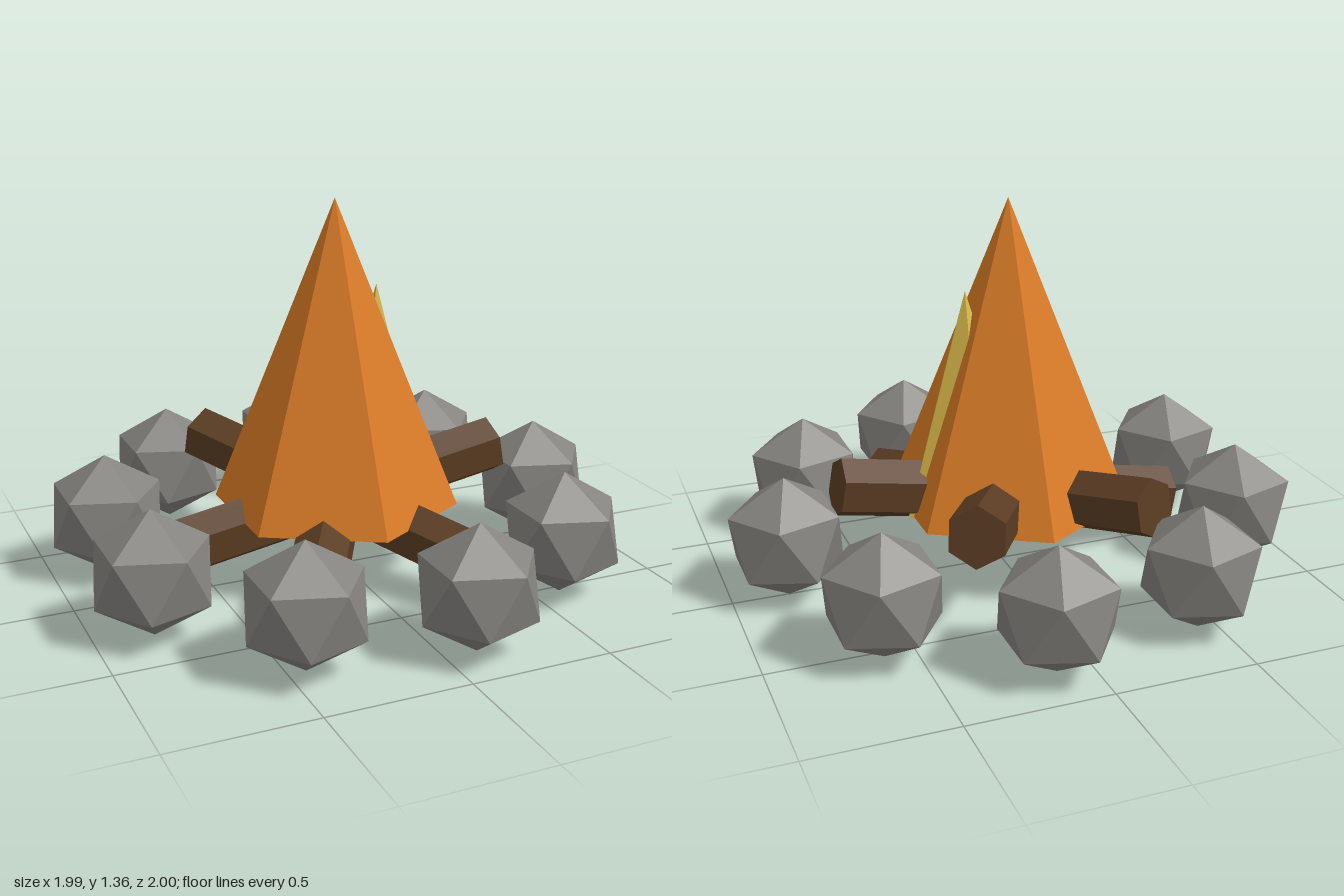
import * as THREE from 'three';

const mat = (name, color) => {
  const m = new THREE.MeshStandardMaterial({ color, flatShading: true });
  m.name = name;
  return m;
};

export function createModel() {
  const stoneGrey = mat('stone grey', 0x85837f);
  const barkBrown = mat('bark brown', 0x5a3c22);
  const flameOrange = mat('flame orange', 0xd97b24);
  const flameYellow = mat('flame yellow', 0xd9b84a);

  const campfire = new THREE.Group();
  campfire.name = 'campfire';
  const centreX = -0.025;

  const add = (name, geometry, material, x, y, z = 0) => {
    const mesh = new THREE.Mesh(geometry, material);
    mesh.name = name;
    mesh.position.set(x, y, z);
    campfire.add(mesh);
    return mesh;
  };

  // Ring of nine stones, each an icosahedron standing on a corner
  const stoneRadius = 0.222;
  const ringRadius = 0.823;
  const stone = new THREE.IcosahedronGeometry(stoneRadius, 0)
    .rotateZ(-Math.atan(2 / (1 + Math.sqrt(5))));
  for (let i = 0; i < 9; i++) {
    const a = (i / 9) * Math.PI * 2;
    add(`stone${i + 1}`, stone, stoneGrey,
      centreX + Math.cos(a) * ringRadius, stoneRadius, Math.sin(a) * ringRadius);
  }

  // Three tilted hexagonal logs crossing at the centre
  const log = new THREE.CylinderGeometry(0.107, 0.107, 1.29, 6)
    .rotateY(Math.PI / 6)
    .rotateZ(-Math.PI / 2 + 0.172);
  for (let i = 0; i < 3; i++) {
    add(`log${i + 1}`, log, barkBrown, centreX, 0.27).rotation.y = (i * Math.PI) / 3;
  }

  // Large six-sided flame
  const baseY = 0.255;
  add('outerFlame', new THREE.ConeGeometry(0.44, 1.1, 6), flameOrange, centreX, baseY + 0.55);

  // Smaller five-sided flame breaking through one side
  const small = add('innerFlame', new THREE.ConeGeometry(0.245, 0.788, 5), flameYellow,
    0.134, baseY - 0.003 + 0.394);
  small.rotation.y = THREE.MathUtils.degToRad(104);

  return campfire;
}
